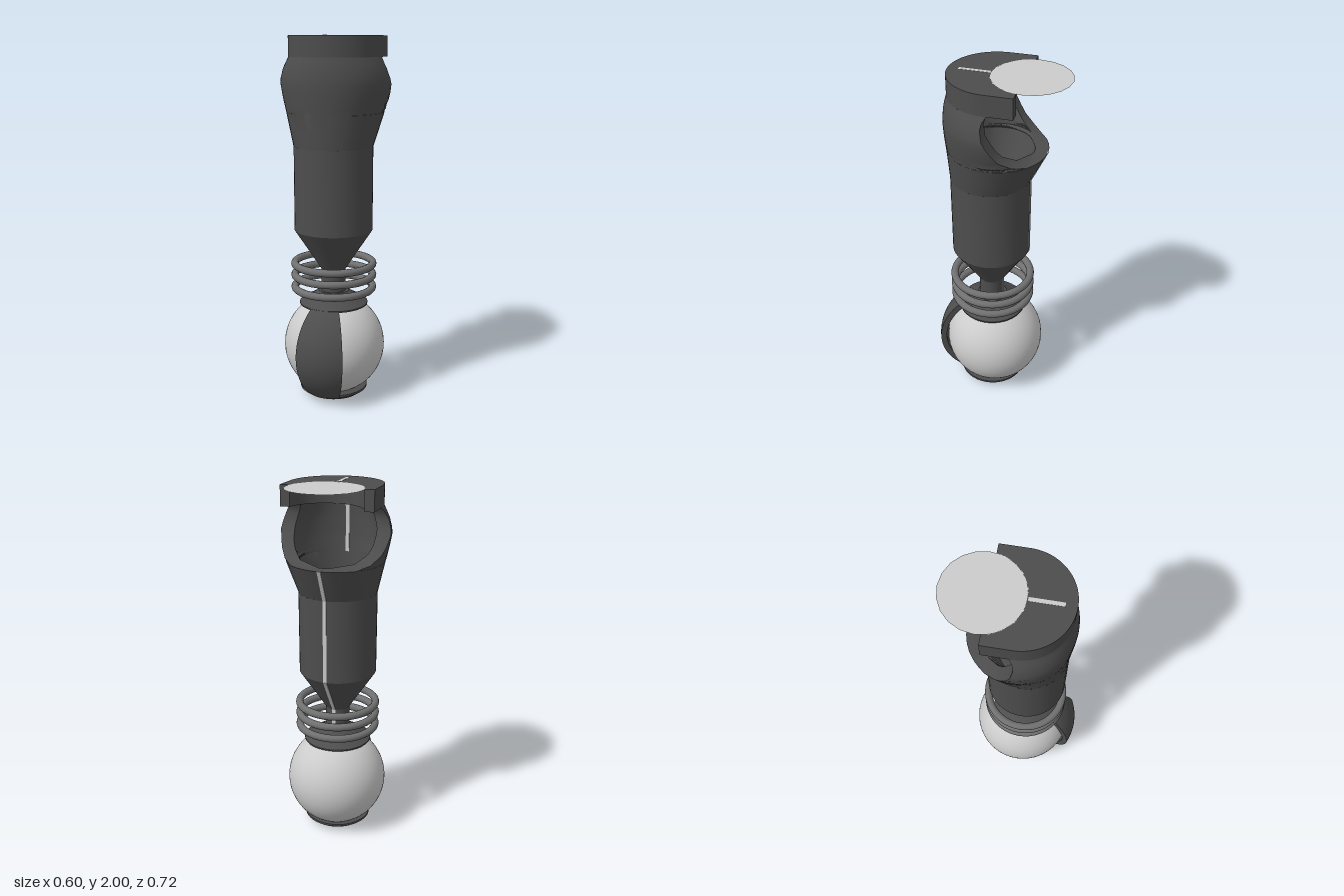
import * as THREE from 'three';
import { toCreasedNormals } from 'three/addons/utils/BufferGeometryUtils.js';

const dark = new THREE.MeshStandardMaterial({ color: 0x4d4d4d, side: THREE.DoubleSide });
const steel = new THREE.MeshStandardMaterial({ color: 0x707070 });
const grey = new THREE.MeshStandardMaterial({ color: 0xcccccc, side: THREE.DoubleSide });

function add(group, name, geometry, material, x = 0, y = 0, z = 0) {
  const mesh = new THREE.Mesh(geometry, material);
  mesh.name = name;
  mesh.position.set(x, y, z);
  group.add(mesh);
  return mesh;
}

function lathe(points, segments = 48) {
  const g = new THREE.LatheGeometry(points.map(p => new THREE.Vector2(...p)), segments);
  return toCreasedNormals(g, 0.5);
}

// C-shaped cross-section: an outer arc and an inner arc returning, open at the back
function cSection({ z, outer, inner, yOuter, yInner, aOuter, aInner }, n = 36) {
  const loop = [];
  const arc = (r, y, from, to) => {
    for (let i = 0; i <= n; i++) {
      const t = from + (to - from) * i / n;
      loop.push([r * Math.sin(t), y, z + r * Math.cos(t)]);
    }
  };
  arc(outer, yOuter, -aOuter, aOuter);
  arc(inner, yInner, aInner, -aInner);
  return loop;
}

// Skin a stack of equal closed loops
function loft(loops) {
  const n = loops[0].length, index = [];
  for (let j = 0; j < loops.length - 1; j++) {
    for (let i = 0; i < n; i++) {
      const k = (i + 1) % n;
      const a = j * n + i, b = j * n + k;
      index.push(a, b, a + n, b, b + n, a + n);
    }
  }
  const g = new THREE.BufferGeometry();
  g.setAttribute('position', new THREE.Float32BufferAttribute(loops.flat(2), 3));
  g.setIndex(index);
  return toCreasedNormals(g, 0.6);
}

// Thin light strip following (z, y) points in the middle plane
function seam(group, name, points) {
  for (let i = 0; i < points.length - 1; i++) {
    const [z0, y0] = points[i], [z1, y1] = points[i + 1];
    const g = new THREE.BoxGeometry(0.02, Math.hypot(z1 - z0, y1 - y0), 0.006);
    const m = add(group, name, g, grey, 0, (y0 + y1) / 2, (z0 + z1) / 2);
    m.rotation.x = Math.atan2(z1 - z0, y1 - y0);
  }
}

export function createModel() {
  const group = new THREE.Group();
  const axis = 0.047;

  // Ball and the shell that holds it
  add(group, 'ball', new THREE.SphereGeometry(0.283, 48, 32), grey, 0, 0.29, 0.033);
  add(group, 'topCap', lathe([
    [0, 0.57], [0.15, 0.535], [0.19, 0.535], [0.19, 0.543], [0.15, 0.568],
    [0.1, 0.595], [0.085, 0.61], [0, 0.61],
  ]), dark, 0, 0, axis);
  add(group, 'bottomCap', lathe([
    [0.11, 0.04], [0.11, 0.005], [0.13, 0], [0.16, 0.015], [0.19, 0.038], [0.19, 0.05], [0.11, 0.05],
  ]), dark, 0, 0, axis);

  const strap = [];
  for (let i = 0; i <= 24; i++) {
    const t = -0.96 + 1.92 * i / 24;
    strap.push(cSection({
      z: axis, outer: 0.316 * Math.cos(t), inner: 0.282 * Math.cos(t),
      yOuter: 0.29 + 0.316 * Math.sin(t), yInner: 0.29 + 0.282 * Math.sin(t),
      aOuter: 0.43, aInner: 0.43,
    }, 12));
  }
  add(group, 'frontStrap', loft(strap), dark);

  // Neck rings
  for (const y of [0.63, 0.7, 0.765]) {
    const ring = add(group, 'neckRing', new THREE.TorusGeometry(0.217, 0.021, 12, 48), steel, 0, y, 0.045);
    ring.rotation.x = Math.PI / 2;
  }

  // Neck, cone and straight sleeve
  add(group, 'lowerBody', lathe([
    [0, 0.6], [0.068, 0.6], [0.068, 0.735], [0.1, 0.785], [0.215, 0.96], [0.215, 1.42], [0, 1.42],
  ]), dark, 0, 0, 0.05);

  // Hollow upper body: [y, radius, front z, inner radius, z of the rear cut]
  const rows = [
    [1.42, 0.215, 0.265, 0.02, -1],
    [1.43, 0.218, 0.266, 0.15, -1],
    [1.5, 0.237, 0.27, 0.168, -1],
    [1.6, 0.264, 0.277, 0.195, -1],
    [1.601, 0.264, 0.277, 0.195, -0.18],
    [1.62, 0.27, 0.279, 0.2, -0.125],
    [1.66, 0.281, 0.282, 0.21, -0.065],
    [1.7, 0.291, 0.285, 0.22, -0.035],
    [1.75, 0.302, 0.287, 0.225, -0.005],
    [1.78, 0.3, 0.286, 0.225, 0.012],
    [1.83, 0.284, 0.28, 0.212, 0.023],
    [1.86, 0.267, 0.273, 0.2, 0.018],
    [1.89, 0.25, 0.265, 0.19, 0],
  ];
  const upper = rows.map(([y, r, front, ri, cut]) => {
    const z = front - r;
    const angle = rad => Math.acos(Math.max(-1, Math.min(1, (cut - z) / rad)));
    return cSection({ z, outer: r, inner: ri, yOuter: y, yInner: y, aOuter: angle(r), aInner: angle(ri) });
  });
  add(group, 'upperBody', loft(upper), dark);

  // Horseshoe collar with a round notch at the back (shape y runs along -z)
  const collar = new THREE.Shape();
  const notch = Math.asin(0.03 / 0.2);
  collar.moveTo(0.25, 0.13);
  collar.lineTo(0.2 * Math.cos(notch), 0.13);
  collar.absarc(0, 0.16, 0.2, -notch, Math.PI + notch, true);
  collar.lineTo(-0.25, 0.13);
  collar.lineTo(-0.25, -0.015);
  collar.absarc(0, -0.015, 0.25, Math.PI, Math.PI * 2, false);
  const collarGeo = new THREE.ExtrudeGeometry(collar, { depth: 0.11, bevelEnabled: false, curveSegments: 28 });
  collarGeo.rotateX(-Math.PI / 2);
  add(group, 'collar', toCreasedNormals(collarGeo, 0.5), dark, 0, 1.89, 0);

  // Flat disc lying in the notch
  const disc = add(group, 'disc', new THREE.CircleGeometry(0.203, 20), grey, 0, 2, -0.158);
  disc.rotation.x = -Math.PI / 2;

  // Light seams on the back, the collar and inside the hollow
  seam(group, 'backSeam', [[-0.25, 1.6], [-0.165, 1.42], [-0.165, 0.96], [-0.05, 0.785], [-0.018, 0.735], [-0.018, 0.61]]);
  seam(group, 'collarSeam', [[0.21, 1.998], [0.045, 1.998], [0.045, 1.89], [0.2, 1.89]]);
  seam(group, 'innerSeam', [[0.205, 1.89], [0.21, 1.75], [0.208, 1.6]]);

  return group;
}
